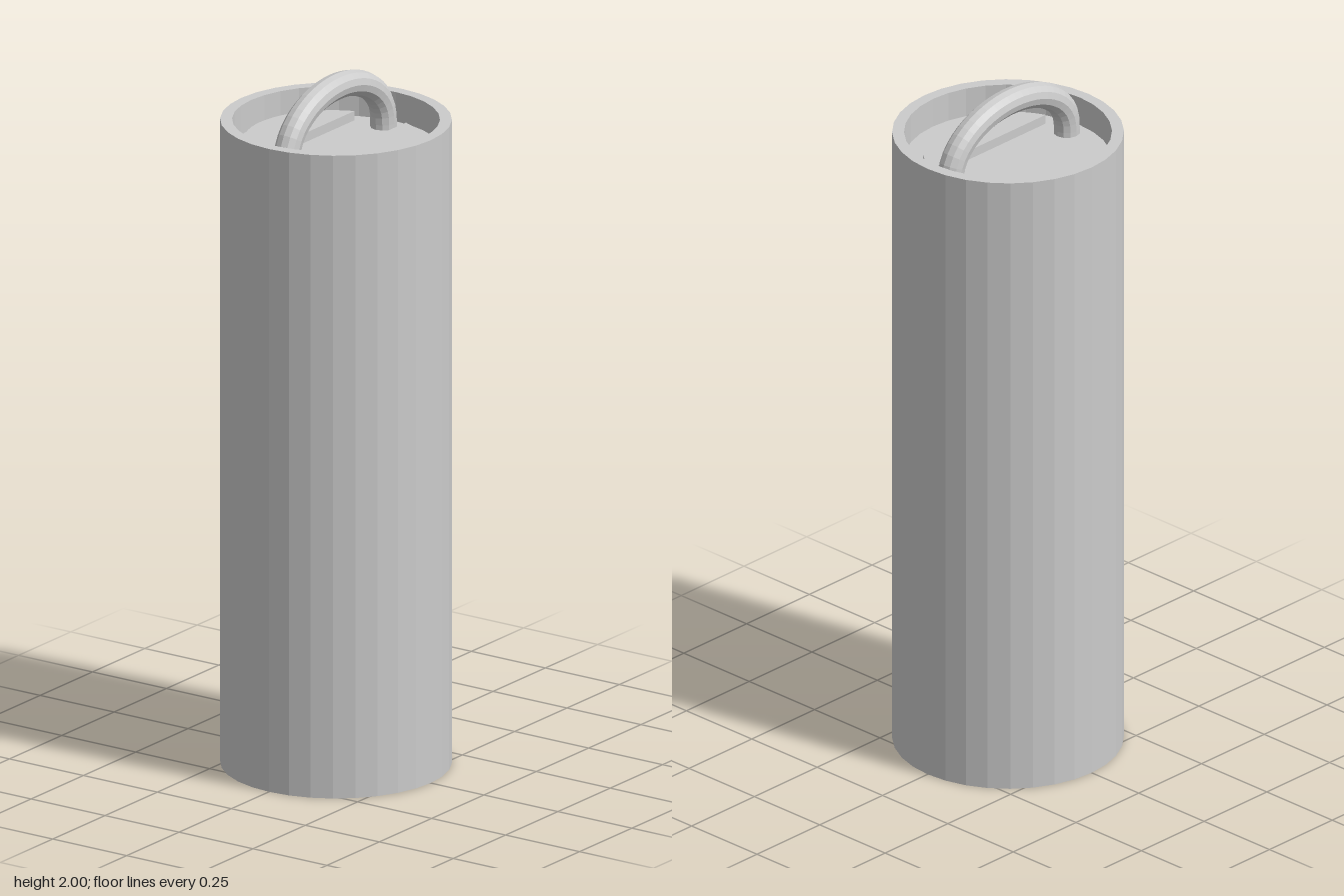
import * as THREE from 'three';

const SIDES = 32;
const RIM_Y = 1.87;    // top of the tube
const FLOOR_Y = 1.785; // recessed lid surface

export function createModel() {
  const group = new THREE.Group();
  const material = new THREE.MeshStandardMaterial({ color: 0xcccccc, flatShading: true });

  const add = (name, geometry, x = 0, y = 0, z = 0) => {
    const mesh = new THREE.Mesh(geometry, material);
    mesh.name = name;
    mesh.position.set(x, y, z);
    group.add(mesh);
    return mesh;
  };

  // Hollow body, open at the bottom
  const wall = [[0.287, 0], [0.32, 0], [0.32, RIM_Y], [0.287, RIM_Y], [0.287, 0]];
  add('bodyTube', new THREE.LatheGeometry(wall.map(([r, y]) => new THREE.Vector2(r, y)), SIDES));

  // Lid set below the rim
  const lidHeight = 0.03;
  add('lidPlate', new THREE.CylinderGeometry(0.287, 0.287, lidHeight, SIDES), 0, FLOOR_Y - lidHeight / 2, 0);

  // Two raised half discs with a groove between them
  const radius = 0.244;
  const angle = Math.acos(0.087 / radius);
  for (const [name, start] of [['leftLidPad', 0], ['rightLidPad', Math.PI]]) {
    const shape = new THREE.Shape();
    shape.absarc(0, 0, radius, start - angle, start + angle, false);
    shape.closePath();
    const pad = new THREE.ExtrudeGeometry(shape, { depth: 0.027, bevelEnabled: false, curveSegments: 12 });
    pad.rotateX(-Math.PI / 2);
    add(name, pad, -0.012, FLOOR_Y, 0);
  }

  // Arched carrying handle standing in the groove
  const tube = 0.037, reach = 0.231, springY = 1.81;
  const rise = 2 - tube - springY;
  const points = [new THREE.Vector3(0, FLOOR_Y - 0.01, reach)];
  for (let i = 0; i <= 16; i++) {
    const t = (i / 16) * Math.PI;
    points.push(new THREE.Vector3(0, springY + rise * Math.sin(t), reach * Math.cos(t)));
  }
  points.push(new THREE.Vector3(0, FLOOR_Y - 0.01, -reach));
  add('handle', new THREE.TubeGeometry(new THREE.CatmullRomCurve3(points), 28, tube, 12), -0.003, 0, 0);

  return group;
}
